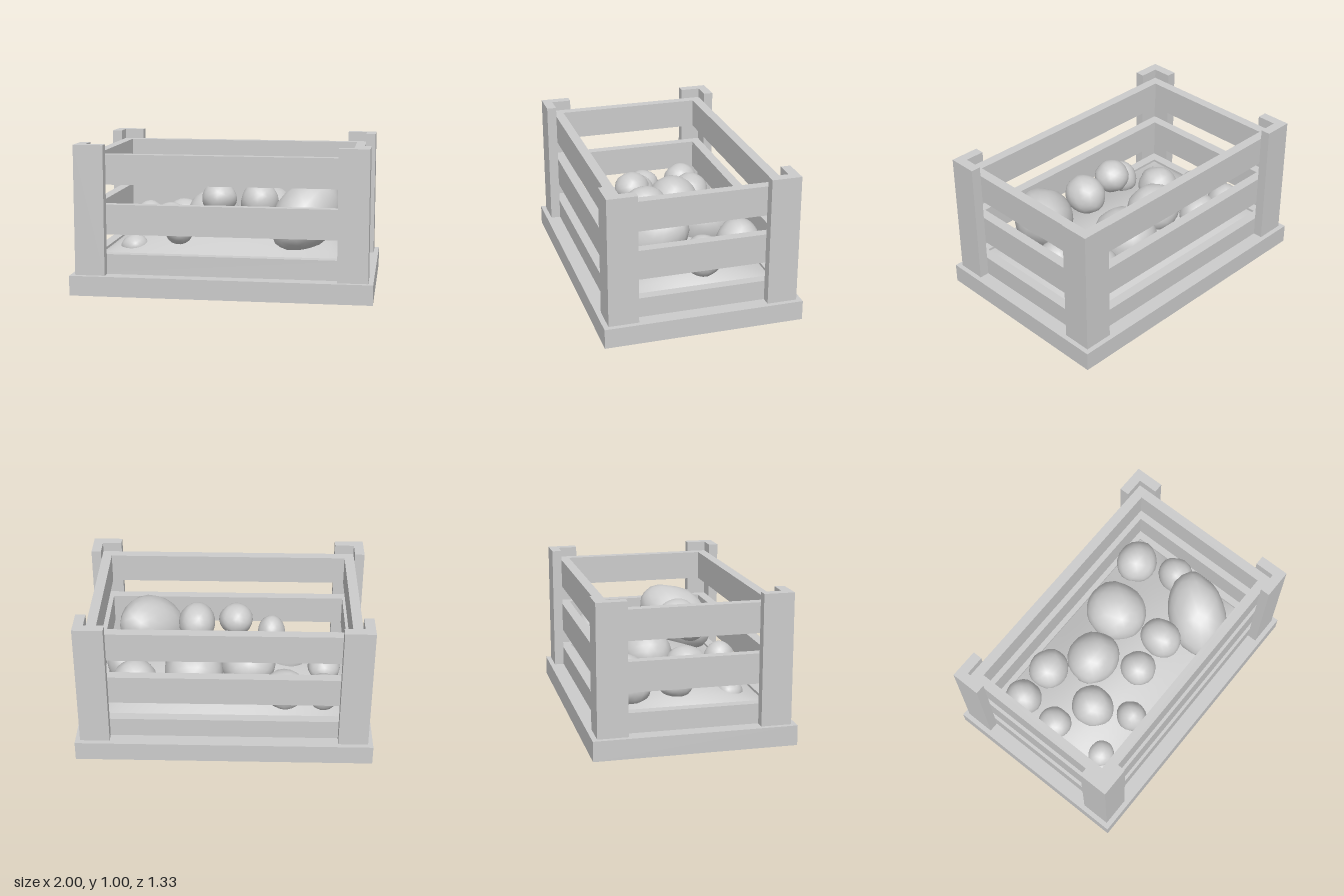
import * as THREE from 'three';
import { mergeVertices } from 'three/addons/utils/BufferGeometryUtils.js';

const material = new THREE.MeshStandardMaterial({ color: 0xcccccc });
const moundMaterial = new THREE.MeshStandardMaterial({ color: 0xcccccc, side: THREE.DoubleSide });

function addMesh(parent, geometry, name, mat = material) {
  const mesh = new THREE.Mesh(geometry, mat);
  mesh.name = name;
  parent.add(mesh);
  return mesh;
}

function addBox(parent, name, [w, h, d], [x, y, z]) {
  addMesh(parent, new THREE.BoxGeometry(w, h, d), name).position.set(x, y, z);
}

// L-shaped corner post, mirrored by the signs sx and sz
function postGeometry(sx, sz) {
  const outline = [[0.967, 0.633], [0.767, 0.633], [0.767, 0.567], [0.9, 0.567], [0.9, 0.433], [0.967, 0.433]];
  const shape = new THREE.Shape(outline.map(([x, z]) => new THREE.Vector2(x * sx, -z * sz)));
  return new THREE.ExtrudeGeometry(shape, { depth: 0.867, bevelEnabled: false }).rotateX(-Math.PI / 2);
}

// Smooth lump: a sphere pushed in and out by a few seeded waves
function lumpGeometry(seed, rx, ry, rz, rough) {
  const ico = new THREE.IcosahedronGeometry(1, 3);
  ico.deleteAttribute('normal');
  ico.deleteAttribute('uv');
  const geometry = mergeVertices(ico, 1e-4);
  const pos = geometry.attributes.position;
  const v = new THREE.Vector3();
  for (let i = 0; i < pos.count; i++) {
    v.fromBufferAttribute(pos, i);
    const wave = Math.sin(2.6 * v.x + seed * 1.7) + Math.sin(3.1 * v.y + seed * 2.9) +
      Math.sin(2.8 * v.z + seed * 4.3) + 0.6 * Math.sin(5 * (v.x - v.y + v.z) + seed);
    v.multiplyScalar(1 + rough * wave);
    pos.setXYZ(i, v.x * rx, v.y * ry, v.z * rz);
  }
  geometry.computeVertexNormals();
  return geometry;
}

export function createModel() {
  const model = new THREE.Group();

  addBox(model, 'base', [2, 0.133, 1.333], [0, 0.0665, 0]);

  // Corner posts
  for (const sx of [-1, 1]) {
    for (const sz of [-1, 1]) {
      addMesh(model, postGeometry(sx, sz), 'cornerPost').position.y = 0.133;
    }
  }

  // Three rings of slats
  for (const [low, high] of [[0.133, 0.267], [0.4, 0.6], [0.733, 0.933]]) {
    const h = high - low, y = (low + high) / 2;
    for (const s of [-1, 1]) {
      addBox(model, 'longSlat', [1.8, h, 0.067], [0, y, s * 0.5335]);
      addBox(model, 'endSlat', [0.067, h, 1], [s * 0.8665, y, 0]);
    }
  }

  // Low mound of filling inside the crate
  const mound = new THREE.PlaneGeometry(1.666, 1, 24, 16).rotateX(-Math.PI / 2);
  const p = mound.attributes.position;
  for (let i = 0; i < p.count; i++) {
    const cx = Math.cos(p.getX(i) / 0.833 * Math.PI / 2);
    const cz = Math.cos(p.getZ(i) / 0.5 * Math.PI / 2);
    p.setY(i, 0.25 + 0.16 * Math.sqrt(Math.max(0, cx)) * cz);
  }
  mound.computeVertexNormals();
  addMesh(model, mound, 'mound', moundMaterial);

  // Lumps: centre x, y, z and half sizes
  const lumps = [
    [-0.67, 0.37, -0.35, 0.125, 0.125, 0.12],
    [-0.40, 0.37, -0.34, 0.14, 0.14, 0.14],
    [-0.16, 0.45, -0.14, 0.18, 0.17, 0.18],
    [0.21, 0.43, -0.23, 0.215, 0.2, 0.215],
    [0.61, 0.45, -0.35, 0.15, 0.14, 0.14],
    [0.715, 0.41, -0.08, 0.115, 0.14, 0.14],
    [-0.685, 0.37, -0.06, 0.11, 0.105, 0.11],
    [-0.43, 0.40, 0.08, 0.145, 0.14, 0.15],
    [-0.065, 0.60, 0.19, 0.115, 0.115, 0.12],
    [0.21, 0.59, 0.17, 0.13, 0.135, 0.15],
    [-0.635, 0.27, 0.315, 0.095, 0.09, 0.09],
    [-0.32, 0.42, 0.335, 0.10, 0.11, 0.11],
  ];
  lumps.forEach(([x, y, z, rx, ry, rz], i) => {
    addMesh(model, lumpGeometry(i + 1, rx, ry, rz, 0.03), 'lump').position.set(x, y, z);
  });

  // Large long lump leaning up towards the back
  const large = addMesh(model, lumpGeometry(5, 0.2, 0.3, 0.2, 0.035), 'largeLump');
  large.position.set(0.54, 0.515, 0.25);
  large.quaternion.setFromUnitVectors(new THREE.Vector3(0, 1, 0), new THREE.Vector3(0.5, 0.5, -0.65).normalize());

  return model;
}
